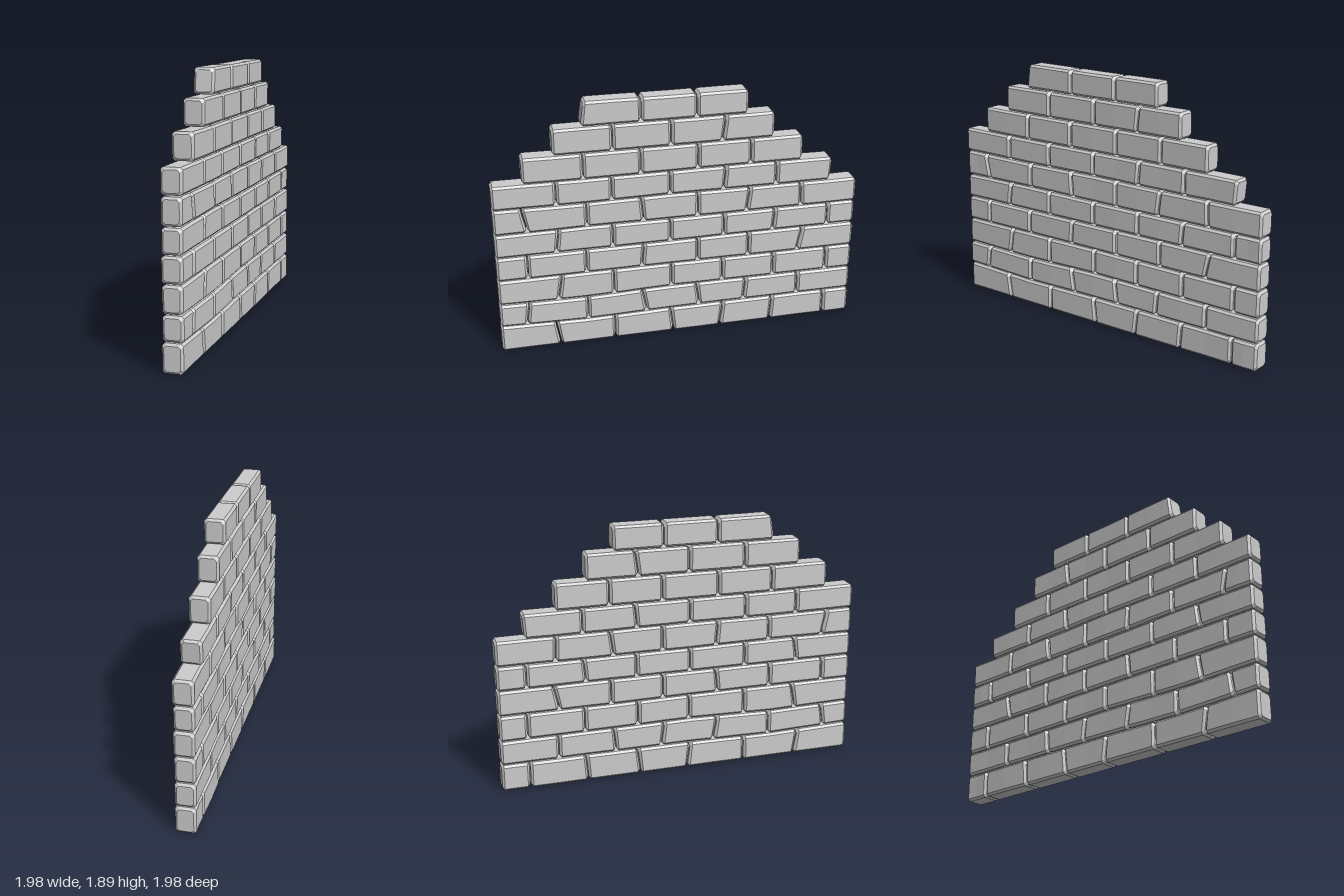
import * as THREE from 'three';

const HALF_DEPTH = 0.072, BEVEL = 0.016, GAP = 0.004;
const material = new THREE.MeshStandardMaterial({ color: 0xcccccc, flatShading: true });

// Bed joints: height of each course line at five stations along the wall
const STATIONS = [-0.9, -0.44, 0, 0.45, 1];
const BEDS = [
  [0, 0, 0, 0, 0],
  [0.205, 0.19, 0.2, 0.2, 0.2],
  [0.385, 0.375, 0.39, 0.385, 0.382],
  [0.58, 0.58, 0.58, 0.575, 0.575],
  [0.765, 0.765, 0.765, 0.768, 0.765],
  [0.945, 0.95, 0.945, 0.945, 0.945],
  [1.14, 1.135, 1.14, 1.135, 1.135],
  [1.325, 1.32, 1.32, 1.32, 1.315],
  [1.52, 1.515, 1.515, 1.515, 1.515],
  [1.71, 1.71, 1.71, 1.71, 1.71],
  [1.895, 1.895, 1.892, 1.892, 1.892],
];

// Upright joints per course; a pair is a slanted joint [bottom, top]
const COURSES = [
  [-0.9, [-0.59, -0.61], -0.3, [0.015, 0], [0.27, 0.285], [0.55, 0.56], 0.853, 1],
  [-0.9, [-0.76, -0.745], -0.44, [-0.13, -0.15], [0.155, 0.14], [0.4, 0.41], 0.7, 1],
  [-0.9, [-0.59, -0.57], -0.3, 0.005, 0.28, 0.56, 0.855, 1],
  [-0.9, -0.74, -0.44, [-0.15, -0.14], 0.145, 0.42, [0.69, 0.715], 1],
  [-0.9, [-0.59, -0.575], -0.3, 0, 0.285, [0.55, 0.56], 0.85, 1],
  [-0.9, [-0.73, -0.755], -0.43, [-0.14, -0.15], 0.145, [0.405, 0.42], [0.7, 0.695], 1],
  [-0.9, -0.58, -0.3, 0, [0.28, 0.29], 0.56, [0.852, 0.86]],
  [-0.745, -0.44, -0.15, 0.145, 0.42, 0.695],
  [-0.59, -0.29, 0.005, [0.27, 0.285], 0.54],
  [[-0.445, -0.43], -0.145, 0.137, 0.4],
];

let seed = 7;
const jitter = (amount) => {
  seed = (seed * 16807) % 2147483647;
  return (seed / 2147483647 - 0.5) * 2 * amount;
};

function bedHeight(k, x) {
  let i = 0;
  while (i < 3 && x > STATIONS[i + 1]) i++;
  const t = THREE.MathUtils.clamp((x - STATIONS[i]) / (STATIONS[i + 1] - STATIONS[i]), 0, 1);
  return THREE.MathUtils.lerp(BEDS[k][i], BEDS[k][i + 1], t);
}

const jointAt = (joint, t) => Array.isArray(joint) ? THREE.MathUtils.lerp(joint[0], joint[1], t) : joint;
// Joint positions are spread over the diagonal run of the wall
const alongWall = (x) => (x - 0.052) * Math.SQRT2;

// A bevelled brick: eight-sided rings swept along its length, closed with caps
function brickGeometry(row, left, right) {
  const positions = [], index = [];
  const front = HALF_DEPTH + jitter(0.003), back = HALF_DEPTH + jitter(0.003);
  const rings = [[0, 0, BEVEL], [0, BEVEL, 0], [0.5, 0, 0], [1, -BEVEL, 0], [1, 0, BEVEL]];
  for (const [s, shift, inset] of rings) {
    const middle = s === 0.5 ? jitter(0.003) : 0;
    const x = THREE.MathUtils.lerp(jointAt(left, 0.5), jointAt(right, 0.5), s);
    const y0 = bedHeight(row, x) + (row ? GAP : 0) + inset;
    const y1 = bedHeight(row + 1, x) - GAP - inset;
    const f = front + middle - inset, b = -back + middle + inset, c = BEVEL;
    const section = [
      [y1, b + c], [y1, f - c], [y1 - c, f], [y0 + c, f],
      [y0, f - c], [y0, b + c], [y0 + c, b], [y1 - c, b],
    ];
    for (const [y, z] of section) {
      const t = (y - y0) / (y1 - y0);
      const start = alongWall(jointAt(left, t)) + GAP, end = alongWall(jointAt(right, t)) - GAP;
      positions.push(THREE.MathUtils.lerp(start, end, s) + shift, y, z);
    }
  }
  for (let i = 0; i < rings.length - 1; i++) {
    for (let j = 0; j < 8; j++) {
      const a = i * 8 + j, b = i * 8 + (j + 1) % 8;
      index.push(a, b, a + 8, b, b + 8, a + 8);
    }
  }
  const last = (rings.length - 1) * 8;
  for (let j = 1; j < 7; j++) {
    index.push(0, j + 1, j, last, last + j, last + j + 1);
  }
  const geometry = new THREE.BufferGeometry();
  geometry.setAttribute('position', new THREE.Float32BufferAttribute(positions, 3));
  geometry.setIndex(index);
  geometry.computeVertexNormals();
  return geometry;
}

export function createModel() {
  const wall = new THREE.Group();
  wall.name = 'brickWall';
  // Courses of bricks, stepping in towards the top
  COURSES.forEach((joints, row) => {
    const course = new THREE.Group();
    course.name = `course${row + 1}`;
    for (let i = 0; i < joints.length - 1; i++) {
      const brick = new THREE.Mesh(brickGeometry(row, joints[i], joints[i + 1]), material);
      brick.name = `brick${i + 1}`;
      course.add(brick);
    }
    wall.add(course);
  });
  // The wall stands on the diagonal
  wall.rotation.y = Math.PI / 4;
  const model = new THREE.Group();
  model.name = 'steppedBrickWall';
  model.add(wall);
  return model;
}
